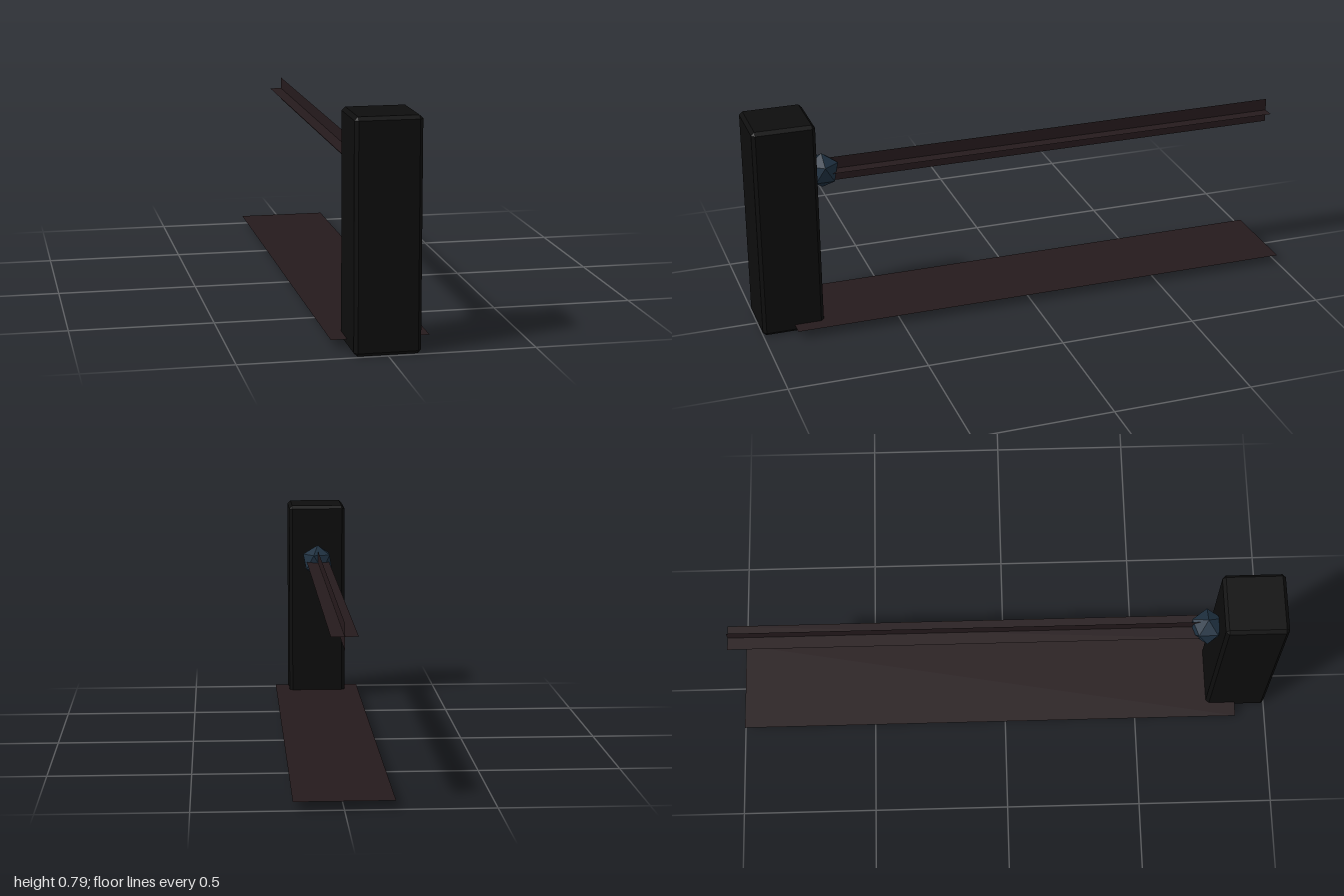
import * as THREE from 'three';
import { ConvexGeometry } from 'three/addons/geometries/ConvexGeometry.js';

const material = (color, extra = {}) => new THREE.MeshStandardMaterial({ color, ...extra });

// Box with every edge and corner chamfered by c
function chamferedBox(w, h, d, c) {
  const points = [];
  for (const sx of [-1, 1]) for (const sy of [-1, 1]) for (const sz of [-1, 1]) {
    const full = [w / 2, h / 2, d / 2];
    for (let axis = 0; axis < 3; axis++) {
      const [x, y, z] = full.map((v, i) => (i === axis ? v : v - c));
      points.push(new THREE.Vector3(sx * x, sy * y, sz * z));
    }
  }
  return new ConvexGeometry(points);
}

export function createModel() {
  const model = new THREE.Group();
  model.name = 'barrierGate';

  const postMaterial = material(0x0d0d0d);
  const sheetMaterial = material(0x251a1c, { side: THREE.DoubleSide });
  const ballMaterial = material(0x1e3040, { flatShading: true });

  const add = (name, geometry, mat, x, y, z, parent = model) => {
    const mesh = new THREE.Mesh(geometry, mat);
    mesh.name = name;
    mesh.position.set(x, y, z);
    parent.add(mesh);
    return mesh;
  };

  // Upright post at the front end
  add('post', chamferedBox(0.225, 0.79, 0.225, 0.012), postMaterial, 0, 0.395, 0.8875);

  // Faceted ball joint, turned so that it stands on one corner
  const ball = new THREE.IcosahedronGeometry(0.065, 0);
  ball.rotateZ(Math.atan(2 / (1 + Math.sqrt(5))));
  ball.rotateY(Math.PI);
  add('pivotBall', ball, ballMaterial, 0, 0.57, 0.735);

  // Beam made of two crossed thin strips
  const beam = new THREE.Group();
  beam.name = 'beam';
  beam.position.set(0, 0.57, -0.1325);
  model.add(beam);
  const strip = new THREE.PlaneGeometry(0.09, 1.735).rotateX(-Math.PI / 2);
  add('beamFlatStrip', strip, sheetMaterial, 0, 0, 0, beam);
  add('beamUprightStrip', strip, sheetMaterial, 0, 0, 0, beam).rotation.z = Math.PI / 2;

  // Thin strip just above the ground
  const floor = new THREE.PlaneGeometry(0.335, 1.885).rotateX(-Math.PI / 2);
  add('groundStrip', floor, sheetMaterial, 0, 0.03, -0.0575);

  return model;
}
